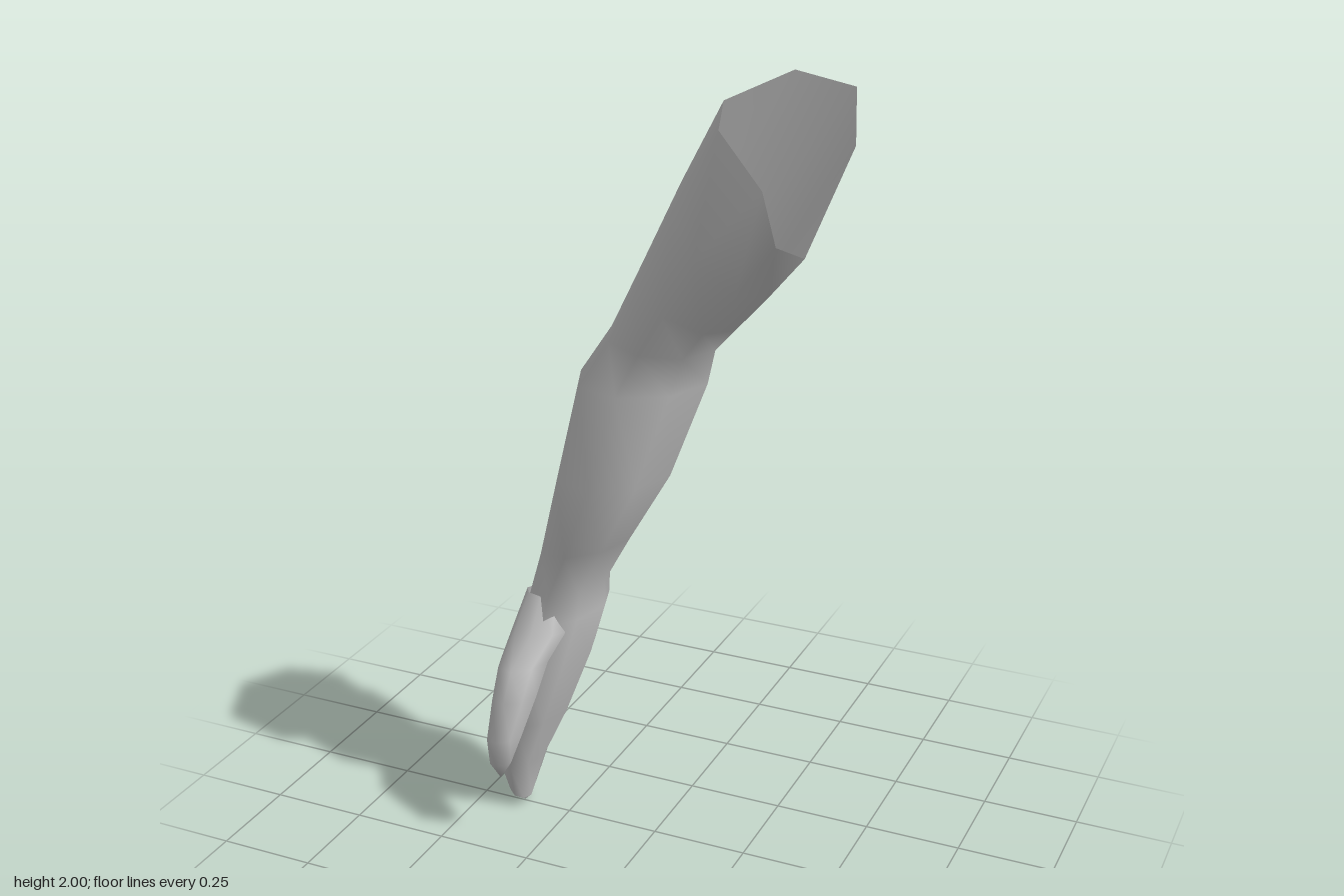
import * as THREE from 'three';

const SIDES = 8;
const material = new THREE.MeshStandardMaterial({ color: 0xcccccc, side: THREE.DoubleSide });

// Eight-sided ring from its left and right points [x, y] and its front and back z.
function ring([lx, ly], [rx, ry], zFront, zBack) {
  const points = [];
  for (let j = 0; j < SIDES; j++) {
    const a = (j / SIDES) * Math.PI * 2;
    const t = (1 - Math.cos(a)) / 2;
    points.push([
      lx + (rx - lx) * t,
      ly + (ry - ly) * t,
      (zFront + zBack) / 2 - (Math.sin(a) * (zFront - zBack)) / 2,
    ]);
  }
  return points;
}

// Smooth skin over rings listed from top to bottom, closed by a point at the end.
function loft(name, rings, tip) {
  const positions = rings.flat(2).concat(tip);
  const index = [];
  const last = rings.length - 1;
  for (let i = 0; i <= last; i++) {
    for (let j = 0; j < SIDES; j++) {
      const a = i * SIDES + j;
      const b = i * SIDES + ((j + 1) % SIDES);
      if (i === last) index.push(a, b, rings.length * SIDES);
      else index.push(a, b, a + SIDES, b, b + SIDES, a + SIDES);
    }
  }
  const geometry = new THREE.BufferGeometry();
  geometry.setAttribute('position', new THREE.Float32BufferAttribute(positions, 3));
  geometry.setIndex(index);
  geometry.computeVertexNormals();
  const mesh = new THREE.Mesh(geometry, material);
  mesh.name = name;
  return mesh;
}

export function createModel() {
  const group = new THREE.Group();
  group.name = 'arm';

  // Slanted open rim at the shoulder
  const rim = [
    [0.16, 1.945, -0.02], [0.28, 2.0, -0.15], [0.415, 1.965, -0.19], [0.445, 1.85, -0.11],
    [0.385, 1.62, 0.04], [0.355, 1.67, 0.145], [0.33, 1.8, 0.17], [0.22, 1.92, 0.155],
  ];

  // Upper arm, elbow, forearm, wrist and closed fingers
  group.add(loft('armAndHand', [
    rim,
    ring([0.06, 1.75], [0.28, 1.5], 0.17, -0.2),
    ring([-0.04, 1.54], [0.2, 1.41], 0.145, -0.17),
    ring([-0.13, 1.37], [0.14, 1.345], 0.11, -0.185),
    ring([-0.225, 1.235], [0.113, 1.25], 0.105, -0.22),
    ring([-0.27, 0.99], [0.03, 1.01], 0.13, -0.18),
    ring([-0.32, 0.77], [-0.08, 0.82], 0.1, -0.15),
    ring([-0.355, 0.65], [-0.16, 0.68], 0.085, -0.175),
    ring([-0.385, 0.56], [-0.16, 0.61], 0.09, -0.18),
    ring([-0.42, 0.44], [-0.2, 0.47], 0.1, -0.18),
    ring([-0.435, 0.27], [-0.265, 0.29], 0.1, -0.147),
    ring([-0.45, 0.11], [-0.335, 0.14], 0.06, -0.11),
    ring([-0.42, 0.045], [-0.365, 0.02], 0.04, -0.045),
  ], [-0.385, 0, -0.005]));

  // Thumb, rooted in the front of the wrist
  group.add(loft('thumb', [
    ring([-0.34, 0.66], [-0.23, 0.66], 0.07, 0.0),
    ring([-0.37, 0.56], [-0.22, 0.57], 0.11, 0.01),
    ring([-0.385, 0.48], [-0.25, 0.5], 0.18, 0.03),
    ring([-0.39, 0.4], [-0.27, 0.41], 0.2, 0.07),
    ring([-0.39, 0.295], [-0.295, 0.31], 0.225, 0.12),
    ring([-0.385, 0.22], [-0.325, 0.225], 0.205, 0.155),
  ], [-0.36, 0.17, 0.172]));

  return group;
}
